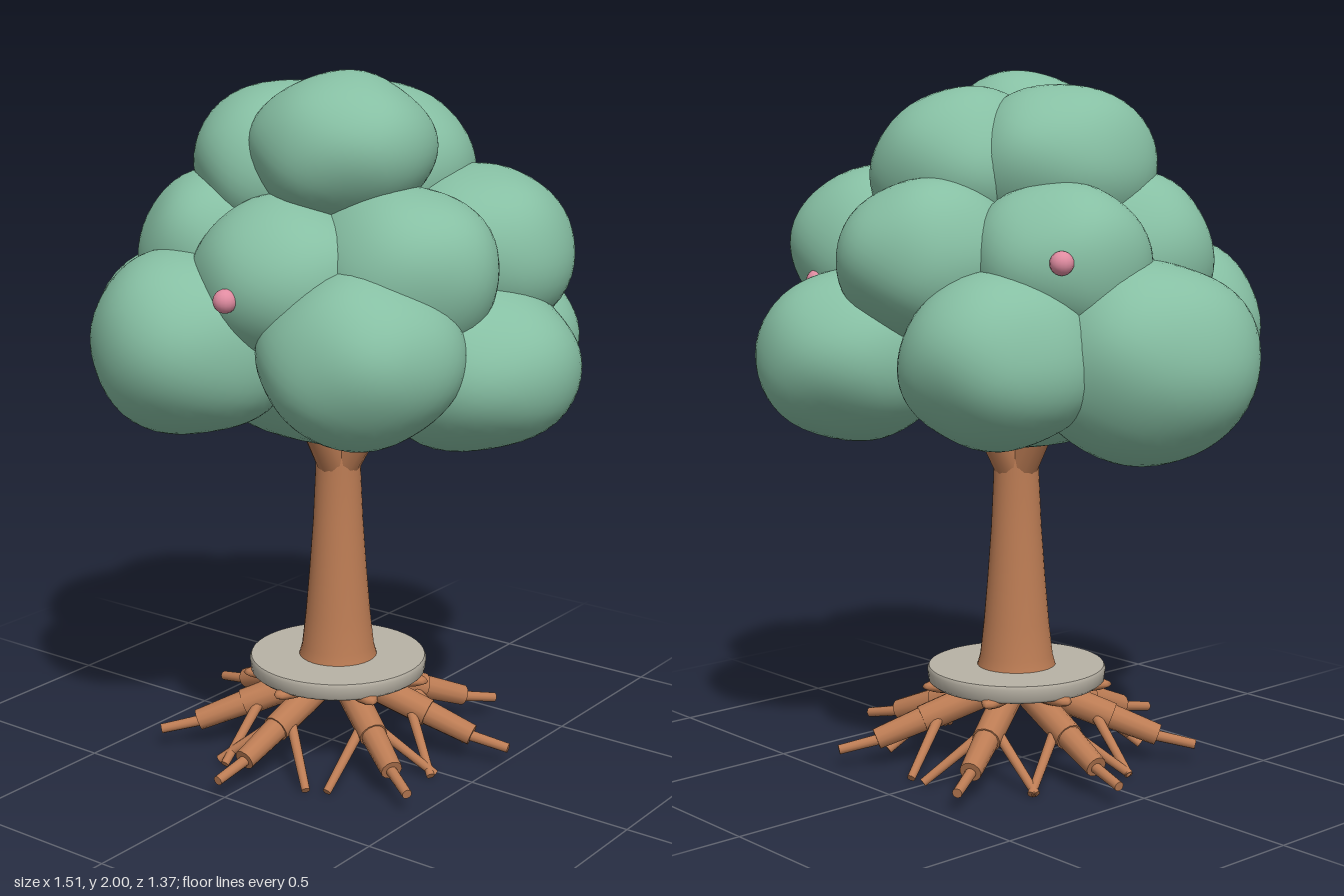
import * as THREE from 'three';
import { mergeVertices } from 'three/addons/utils/BufferGeometryUtils.js';

const paint = (name, color) => {
  const m = new THREE.MeshStandardMaterial({ color });
  m.name = name;
  return m;
};

export function createModel() {
  const leaf = paint('leaf green', 0x86bfa3);
  const bark = paint('bark brown', 0xbc7c54);
  const stone = paint('stone grey', 0xb8b2a5);
  const pink = paint('blossom pink', 0xe08ca1);

  const tree = new THREE.Group();
  tree.name = 'tree';
  const cx = 0.019, cz = -0.005; // trunk axis

  const add = (parent, name, geometry, material) => {
    const mesh = new THREE.Mesh(geometry, material);
    mesh.name = name;
    parent.add(mesh);
    return mesh;
  };

  // tapered rod between two points
  const rod = (parent, name, a, b, ra, rb) => {
    const dir = b.clone().sub(a);
    const mesh = add(parent, name, new THREE.CylinderGeometry(rb, ra, dir.length(), 12), bark);
    mesh.position.copy(a).add(b).multiplyScalar(0.5);
    mesh.quaternion.setFromUnitVectors(new THREE.Vector3(0, 1, 0), dir.normalize());
    return mesh;
  };

  // point at an azimuth, radius and height around the trunk
  const polar = (deg, r, y) => {
    const t = THREE.MathUtils.degToRad(deg);
    return new THREE.Vector3(cx + r * Math.cos(t), y, cz + r * Math.sin(t));
  };

  // lumpy ball with smooth normals
  const lump = (rx, ry, rz, seed) => {
    let g = new THREE.IcosahedronGeometry(1, 8);
    g.deleteAttribute('normal');
    g.deleteAttribute('uv');
    g = mergeVertices(g, 1e-4);
    const p = g.attributes.position;
    const v = new THREE.Vector3();
    for (let i = 0; i < p.count; i++) {
      v.fromBufferAttribute(p, i).normalize();
      const wave = Math.sin(4.1 * v.x + seed * 1.7) * Math.sin(3.7 * v.y + seed * 2.3)
        + Math.sin(4.3 * v.z + seed * 0.9) * Math.sin(3.9 * v.x - seed);
      v.multiplyScalar(1.01 + 0.026 * wave);
      p.setXYZ(i, v.x * rx, v.y * ry, v.z * rz);
    }
    g.computeVertexNormals();
    return g;
  };

  // foliage: centre and radii of each clump
  const foliage = new THREE.Group();
  foliage.name = 'foliage';
  tree.add(foliage);
  const clumps = [
    [0, 1.31, -0.01, 0.43, 0.38, 0.41],       // core
    [-0.175, 1.275, 0.40, 0.292, 0.255, 0.28], // lower ring
    [0.335, 1.28, 0.32, 0.272, 0.235, 0.27],
    [-0.445, 1.212, 0.045, 0.30, 0.278, 0.325],
    [0.45, 1.22, -0.04, 0.296, 0.235, 0.302],
    [0.24, 1.212, -0.40, 0.28, 0.24, 0.287],
    [-0.265, 1.23, -0.32, 0.262, 0.238, 0.277],
    [-0.24, 1.49, 0.17, 0.25, 0.24, 0.25],    // middle ring
    [-0.29, 1.475, -0.12, 0.25, 0.225, 0.25],
    [0.0, 1.485, -0.34, 0.25, 0.225, 0.252],
    [0.35, 1.495, -0.20, 0.28, 0.242, 0.285],
    [0.335, 1.48, 0.135, 0.268, 0.235, 0.25],
    [0.07, 1.45, 0.28, 0.27, 0.23, 0.26],
    [0.128, 1.795, 0.115, 0.253, 0.203, 0.245], // crown
    [-0.13, 1.73, 0.03, 0.252, 0.23, 0.287],
    [0.07, 1.72, -0.14, 0.255, 0.23, 0.267],
  ];
  clumps.forEach(([x, y, z, rx, ry, rz], i) => {
    add(foliage, 'leafClump', lump(rx, ry, rz, i + 1), leaf).position.set(x, y, z);
  });

  // blossoms
  for (const [x, y, z] of [[0.067, 1.44, 0.55], [-0.469, 1.495, -0.29], [0.345, 1.415, -0.465]]) {
    add(tree, 'blossom', new THREE.SphereGeometry(0.032, 16, 12), pink).position.set(x, y, z);
  }

  // trunk with flared foot
  const profile = [[0.117, 0.28], [0.106, 0.32], [0.095, 0.42], [0.084, 0.55], [0.073, 0.7], [0.066, 0.85], [0.066, 1.1]];
  add(tree, 'trunk', new THREE.LatheGeometry(profile.map(([r, y]) => new THREE.Vector2(r, y)), 32), bark)
    .position.set(cx, 0, cz);

  // four branches spreading into the foliage
  for (let i = 0; i < 4; i++) {
    rod(tree, 'branch', polar(i * 90, 0.02, 0.88), polar(i * 90, 0.17, 1.12), 0.05, 0.042);
  }

  // stone disc with eased edges
  const rim = [[0, 0.238], [0.245, 0.238], [0.257, 0.248], [0.261, 0.28], [0.256, 0.29], [0.256, 0.29], [0, 0.29]];
  add(tree, 'stoneDisc', new THREE.LatheGeometry(rim.map(([r, y]) => new THREE.Vector2(r, y)), 48), stone)
    .position.set(cx, 0, cz);

  // seven roots, each with a rounded collar, a thick run, a thin tip and two rootlets
  const roots = new THREE.Group();
  roots.name = 'roots';
  tree.add(roots);
  for (const a of [-17, 32, 93, 139, 190, 240, 300]) {
    const collar = add(roots, 'rootCollar', new THREE.SphereGeometry(1, 16, 10), bark);
    collar.scale.set(0.135, 0.026, 0.04);
    collar.position.copy(polar(a, 0.145, 0.236));
    collar.rotation.y = -THREE.MathUtils.degToRad(a);
    rod(roots, 'rootUpper', polar(a, 0.05, 0.225), polar(a, 0.28, 0.138), 0.044, 0.041);
    rod(roots, 'rootLower', polar(a, 0.26, 0.146), polar(a, 0.415, 0.088), 0.037, 0.031);
    rod(roots, 'rootTip', polar(a, 0.39, 0.09), polar(a, 0.525, 0.063), 0.016, 0.014);
    for (const s of [-1, 1]) {
      rod(roots, 'rootlet', polar(a, 0.22, 0.165), polar(a + s * 26, 0.38, 0.018), 0.016, 0.012);
    }
  }
  return tree;
}
